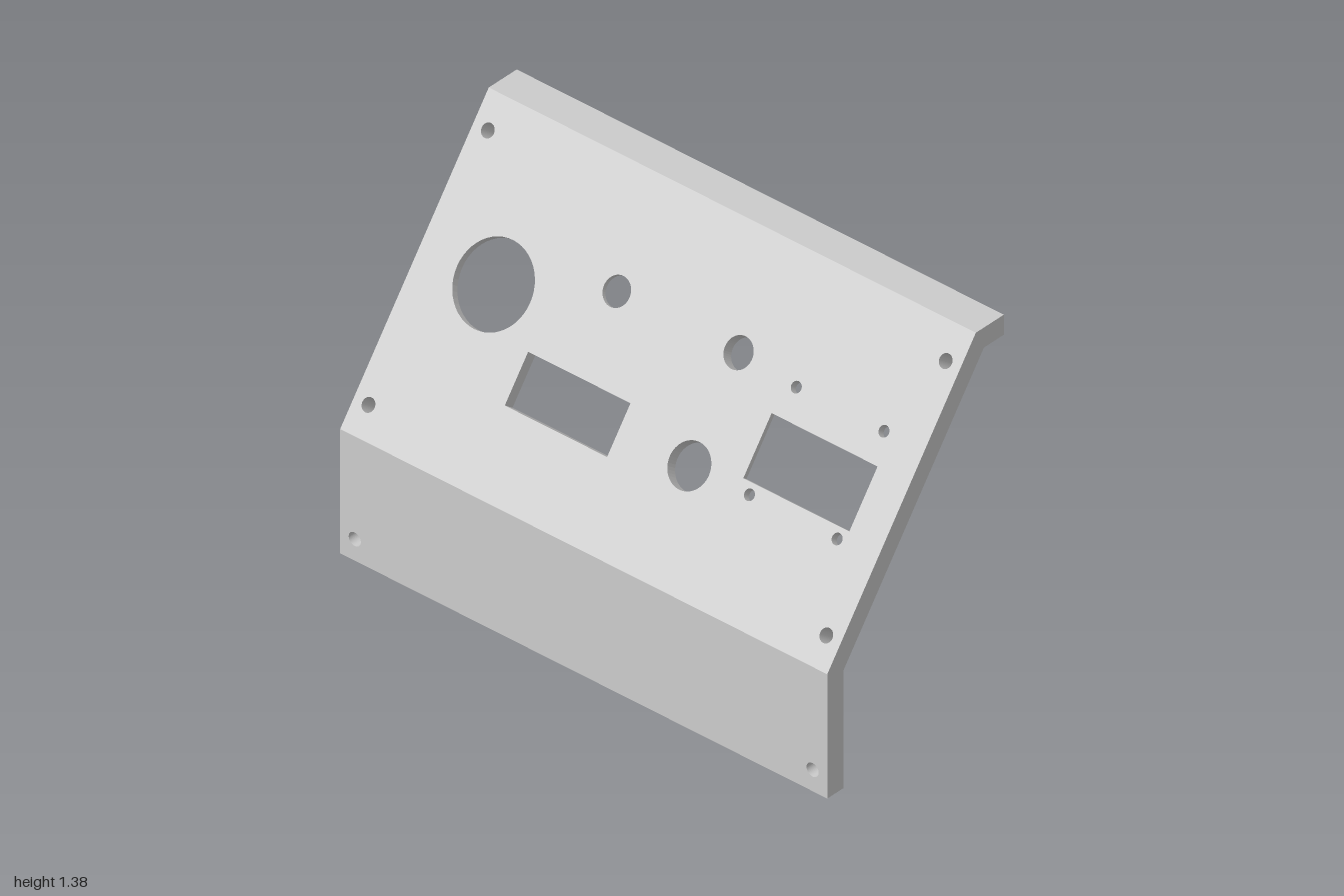
import * as THREE from 'three';

const material = new THREE.MeshStandardMaterial({ color: 0xcccccc });

// Closed path helpers, all in the plane of a plate
const rect = (x0, y0, x1, y1, P = THREE.Path) =>
  new P([[x0, y0], [x1, y0], [x1, y1], [x0, y1]].map(([x, y]) => new THREE.Vector2(x, y)));

function circle(x, y, r) {
  const path = new THREE.Path();
  path.absarc(x, y, r, 0, Math.PI * 2, true);
  return path;
}

// Plate with holes, spanning local z from back to front
function plate(name, height, back, front, holes) {
  const shape = rect(-1, 0, 1, height, THREE.Shape);
  shape.holes = holes;
  const geo = new THREE.ExtrudeGeometry(shape, { depth: front - back, bevelEnabled: false, curveSegments: 24 });
  geo.translate(0, 0, back);
  const mesh = new THREE.Mesh(geo, material);
  mesh.name = name;
  return mesh;
}

// Bar of full width from a (z, y) cross-section
function bar(name, points) {
  const shape = new THREE.Shape(points.map(([z, y]) => new THREE.Vector2(-z, y)));
  const geo = new THREE.ExtrudeGeometry(shape, { depth: 2, bevelEnabled: false });
  geo.translate(0, 0, -1);
  geo.rotateY(Math.PI / 2);
  const mesh = new THREE.Mesh(geo, material);
  mesh.name = name;
  return mesh;
}

export function createModel() {
  const model = new THREE.Group();
  model.name = 'controlPanel';

  // Upright lower plate with two screw holes
  const lower = plate('lowerPlate', 0.42, 0.335, 0.41, [-0.94, 0.94].map(x => circle(x, 0.08, 0.025)));
  model.add(lower);

  // Bend between lower plate and sloping panel, and the flange along the top
  model.add(bar('bend', [[0.335, 0.42], [0.41, 0.42], [0.41, 0.465], [0.335, 0.44]]));
  model.add(bar('topFlange', [[-0.28, 1.385], [-0.41, 1.385], [-0.41, 1.31], [-0.3175, 1.31], [-0.34, 1.34]]));

  // Sloping panel, stacked in layers so the pockets step in from the back
  const panel = new THREE.Group();
  panel.name = 'slopingPanel';
  panel.position.set(0, 0.465, 0.41);
  panel.rotation.x = -Math.atan2(0.6, 0.8);
  model.add(panel);

  const length = 1.15;
  const cornerScrews = () => [-0.94, 0.94].flatMap(x => [0.106, 1.03].map(s => circle(x, s, 0.025)));
  const displayScrews = () => [0.475, 0.835].flatMap(x => [0.3875, 0.75].map(s => circle(x, s, 0.02)));
  const throughHoles = () => [
    ...cornerScrews(),
    circle(0.23, 0.765, 0.055),
    circle(0.23, 0.384, 0.08),
    rect(-0.48, 0.294, -0.06, 0.475),
  ];
  const buttonPocket = () => rect(-0.37, 0.7, -0.175, 0.83);

  panel.add(plate('frontSkin', length, -0.018, 0, [
    ...throughHoles(), ...displayScrews(),
    circle(-0.695, 0.6125, 0.15),
    circle(-0.27, 0.765, 0.052),
    rect(0.43, 0.425, 0.865, 0.644),
  ]));

  // Display recess, connector notch and button pocket
  panel.add(plate('displayLayer', length, -0.03, -0.018, [
    ...throughHoles(), ...displayScrews(),
    circle(-0.695, 0.6125, 0.15),
    buttonPocket(),
    rect(0.42, 0.415, 0.875, 0.725),
    rect(0.58, 0.365, 0.76, 0.4),
  ]));

  // Board pocket, counterbore and key slot
  panel.add(plate('boardLayer', length, -0.045, -0.03, [
    ...throughHoles(),
    circle(-0.695, 0.6125, 0.165),
    buttonPocket(),
    rect(0.41, 0.345, 0.88, 0.8),
    rect(0.345, 0.74, 0.367, 0.79),
  ]));

  // Raised side rails around the large back recess
  panel.add(plate('backRails', length, -0.075, -0.045, [
    ...cornerScrews(),
    rect(-0.88, 0.03, 0.88, 1.09),
  ]));

  return model;
}
